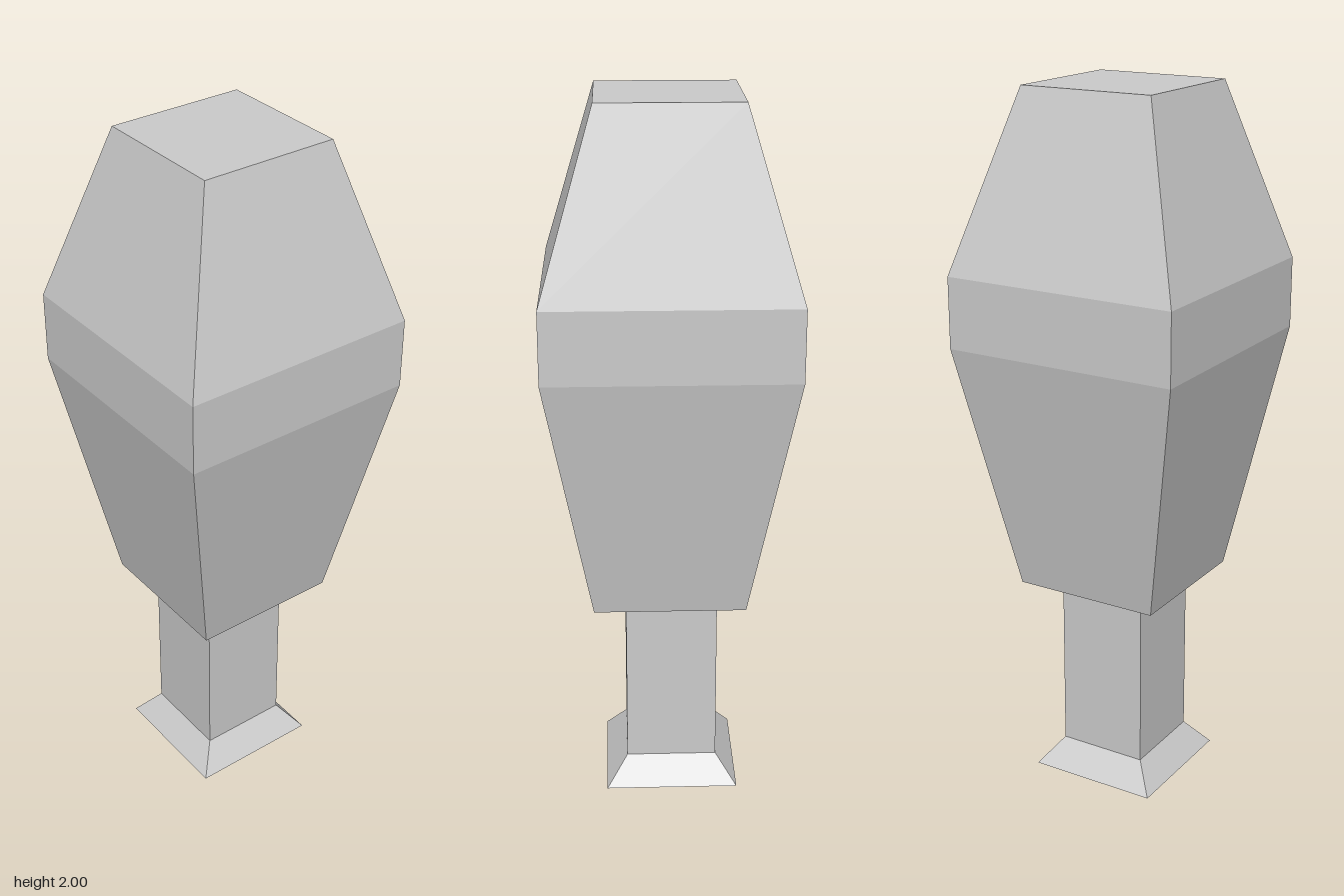
import * as THREE from 'three';

const material = new THREE.MeshStandardMaterial({ color: 0xcccccc, flatShading: true });

// Square frustum standing between y0 and y1, sized by its half widths
function frustum(name, y0, half0, y1, half1, openTop = false, openBottom = false) {
  const geometry = new THREE.CylinderGeometry(half1 * Math.SQRT2, half0 * Math.SQRT2, y1 - y0, 4, 1, true);
  geometry.rotateY(Math.PI / 4);
  const mesh = new THREE.Mesh(geometry, material);
  mesh.name = name;
  mesh.position.y = (y0 + y1) / 2;
  // Flat end caps where the section is not joined to another
  const cap = (half, y, turn) => {
    const end = new THREE.Mesh(new THREE.PlaneGeometry(half * 2, half * 2).rotateX(turn), material);
    end.name = name + 'Cap';
    end.position.y = y - mesh.position.y;
    mesh.add(end);
  };
  if (!openTop) cap(half1, y1, -Math.PI / 2);
  if (!openBottom) cap(half0, y0, Math.PI / 2);
  return mesh;
}

export function createModel() {
  const model = new THREE.Group();
  model.name = 'tree';

  // Trunk with a flared foot, slightly off the crown's axis
  const trunk = new THREE.Group();
  trunk.name = 'trunk';
  trunk.position.set(-0.007, 0, -0.007);
  trunk.add(
    frustum('trunkFoot', 0, 0.19, 0.078, 0.13, true),
    frustum('trunkPost', 0.078, 0.13, 0.595, 0.13, true, true)
  );

  // Faceted crown in three stacked sections
  const crown = new THREE.Group();
  crown.name = 'crown';
  crown.add(
    frustum('crownLower', 0.595, 0.213, 1.305, 0.342, true),
    frustum('crownMiddle', 1.305, 0.342, 1.505, 0.342, true, true),
    frustum('crownUpper', 1.505, 0.342, 2, 0.195, false, true)
  );

  model.add(trunk, crown);
  return model;
}
